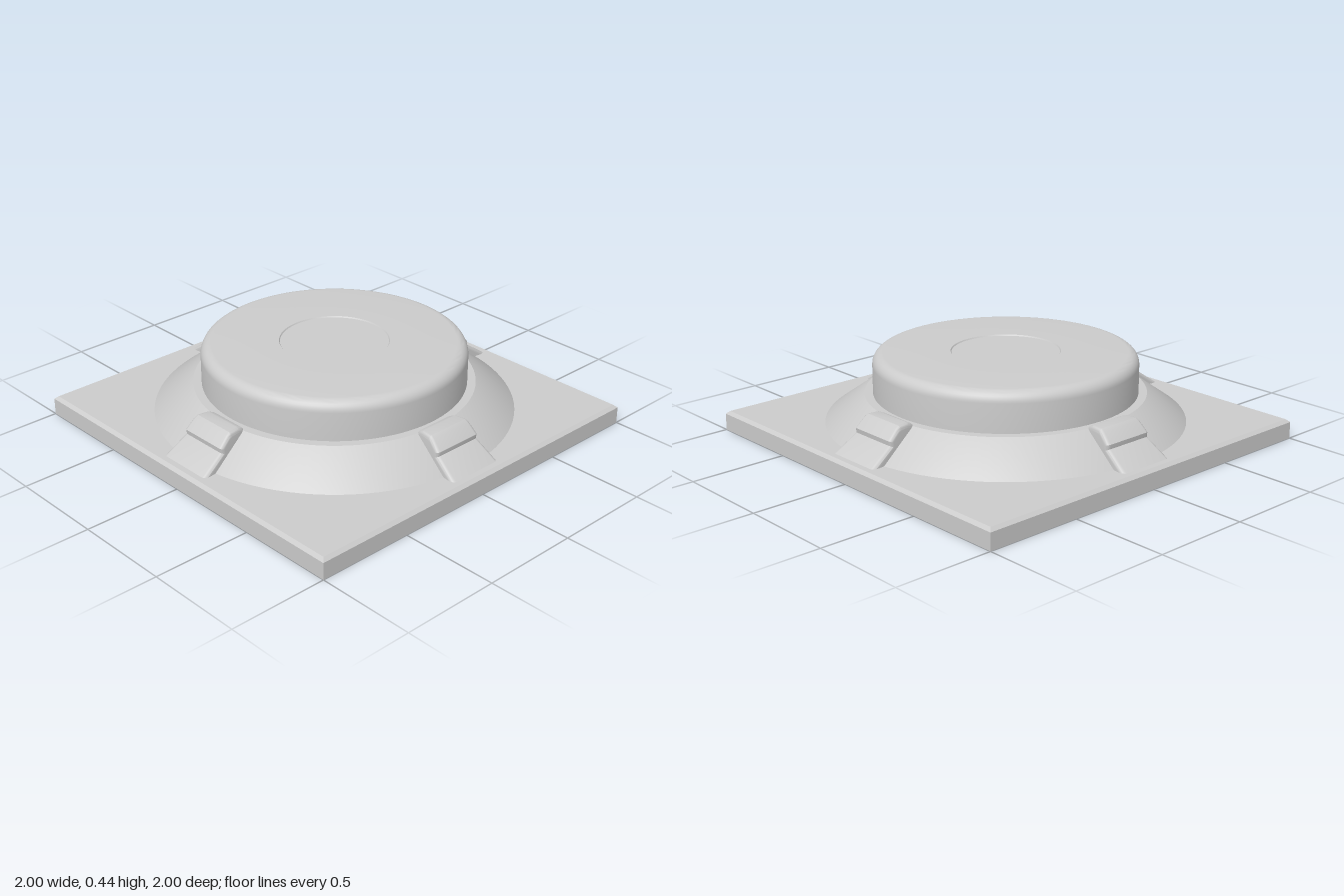
import * as THREE from 'three';
import { toCreasedNormals } from 'three/addons/utils/BufferGeometryUtils.js';

const material = new THREE.MeshStandardMaterial({ color: 0xcccccc });

function part(name, geometry, crease = 0.5) {
  const mesh = new THREE.Mesh(toCreasedNormals(geometry, crease), material);
  mesh.name = name;
  return mesh;
}

// Profiles are [radius, height] pairs from bottom to top
function lathe(points, segments, start = 0) {
  return new THREE.LatheGeometry(points.map(p => new THREE.Vector2(...p)), segments, start);
}

// Radial clamp profile, widened towards its foot
function clampGeometry() {
  const profile = [
    [0.67, 0.04], [0.975, 0.04], [0.975, 0.085], [0.835, 0.18], [0.838, 0.203],
    [0.79, 0.25], [0.772, 0.262], [0.715, 0.262], [0.685, 0.248], [0.67, 0.225],
  ];
  const bevel = 0.02, half = 0.13;
  const geometry = new THREE.ExtrudeGeometry(
    new THREE.Shape(profile.map(p => new THREE.Vector2(...p))),
    {
      depth: 2 * (half - bevel), bevelSize: bevel, bevelThickness: bevel,
      bevelOffset: -bevel, bevelSegments: 4,
    });
  geometry.translate(0, 0, bevel - half);
  const pos = geometry.attributes.position;
  for (let i = 0; i < pos.count; i++) {
    const width = 0.115 + (pos.getX(i) - 0.67) * 0.143;
    pos.setZ(i, pos.getZ(i) * width / half);
  }
  return geometry;
}

export function createModel() {
  const model = new THREE.Group();

  // Square plate with a chamfered top edge
  const d = Math.SQRT2;
  model.add(part('basePlate', lathe(
    [[0, 0], [d, 0], [d, 0.085], [0.983 * d, 0.1], [0, 0.1]], 4, Math.PI / 4), 0.2));

  // Sloping collar
  model.add(part('collar', lathe([[0.9, 0.095], [0.897, 0.1], [0.7, 0.24], [0.6, 0.24]], 96)));

  // Raised drum with a rounded rim and a shallow round inset
  const drum = [[0.658, 0.2]];
  const r = 0.055;
  for (let i = 0; i <= 8; i++) {
    const a = i / 8 * Math.PI / 2;
    drum.push([0.603 + r * Math.cos(a), 0.385 + r * Math.sin(a)]);
  }
  drum.push([0.272, 0.44], [0.268, 0.434], [0, 0.434]);
  model.add(part('drum', lathe(drum, 96)));

  // Four clamps around the collar
  const clamp = clampGeometry();
  for (let i = 0; i < 4; i++) {
    const mesh = part('clamp', clamp);
    mesh.rotation.y = i * Math.PI / 2;
    model.add(mesh);
  }
  return model;
}
